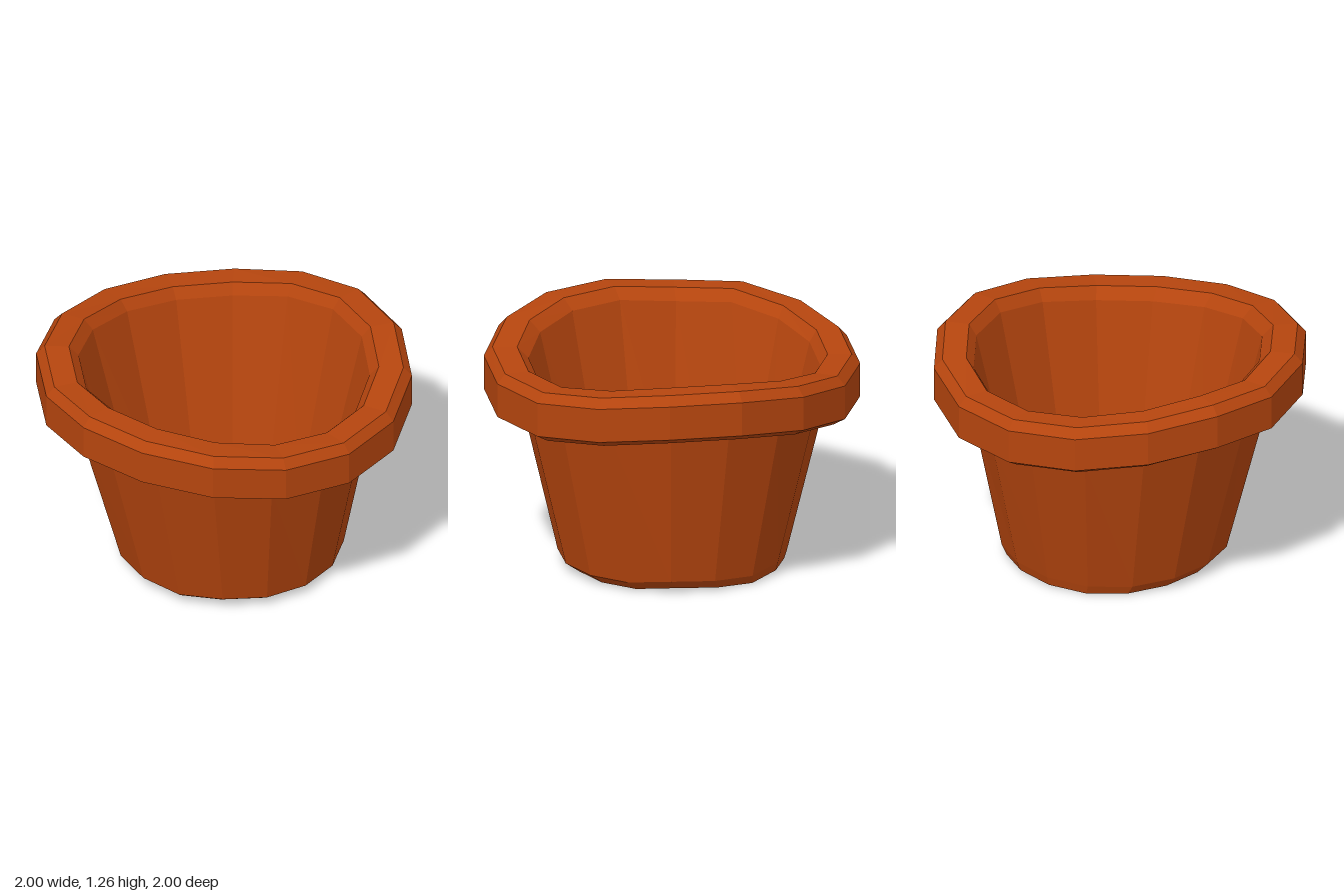
import * as THREE from 'three';

const SIDES = 16;
// Height of the wavy rim at each corner, from the left (+x) round past the front
const WAVE = [1.23, 1.19, 1.15, 1.15, 1.18, 1.225, 1.26, 1.265,
  1.24, 1.255, 1.22, 1.175, 1.145, 1.145, 1.19, 1.23];
const FOOT = [0.03, 0.01, 0.005, 0.005, 0.01, 0.02, 0.01, 0.02,
  0.025, 0.02, 0.01, 0.005, 0.01, 0.015, 0.005, 0.02];

// A ring of corners: radius, centre and a height rule per corner
function ring(r, cx, cz, height) {
  return Array.from({ length: SIDES }, (_, i) => {
    const a = (i / SIDES) * Math.PI * 2;
    return [cx + r * Math.cos(a), height(i), cz + r * Math.sin(a)];
  });
}

// Joins successive rings with quads; rings run up the outside and down the inside
function loft(name, rings, material) {
  const pos = [];
  for (let k = 0; k < rings.length - 1; k++) {
    for (let i = 0; i < SIDES; i++) {
      const j = (i + 1) % SIDES;
      const a = rings[k][i], b = rings[k + 1][i], c = rings[k + 1][j], d = rings[k][j];
      pos.push(...a, ...b, ...c, ...a, ...c, ...d);
    }
  }
  const geometry = new THREE.BufferGeometry();
  geometry.setAttribute('position', new THREE.Float32BufferAttribute(pos, 3));
  geometry.computeVertexNormals();
  const mesh = new THREE.Mesh(geometry, material);
  mesh.name = name;
  return mesh;
}

export function createModel() {
  const clay = new THREE.MeshStandardMaterial({ color: 0xb5450e, flatShading: true });
  const below = (drop) => (i) => WAVE[i] - drop;
  const foot = (lift) => (i) => FOOT[i] + lift;
  const level = (y) => () => y;

  // Shared rings
  const baseEdge = ring(0.565, 0.03, -0.04, foot(0));
  const wallBottom = ring(0.61, 0.03, -0.01, foot(0.05));
  const wallTop = ring(0.805, -0.01, -0.01, below(0.3));
  const mouth = ring(0.775, 0.005, -0.02, below(0.06));
  const floorEdge = ring(0.52, 0.02, -0.02, level(0.12));

  const pot = new THREE.Group();
  pot.name = 'flowerPot';
  pot.add(
    // Underside with its chamfered edge
    loft('base', [ring(0, 0.03, -0.04, level(0.012)), baseEdge, wallBottom], clay),
    // Tapered outer wall
    loft('outerWall', [wallBottom, wallTop], clay),
    // Thick wavy rim, from the neck over the top to the mouth
    loft('rim', [
      wallTop,
      ring(0.84, 0, -0.01, below(0.275)),
      ring(0.93, 0, -0.01, below(0.275)),
      ring(1, 0, -0.008, below(0.235)),
      ring(1, 0, -0.008, below(0.05)),
      ring(0.955, 0, -0.008, below(0)),
      ring(0.825, 0, -0.01, below(0)),
      mouth,
    ], clay),
    // Hollow inside and its floor
    loft('innerWall', [mouth, floorEdge], clay),
    loft('floor', [floorEdge, ring(0, 0.02, -0.02, level(0.12))], clay),
  );
  return pot;
}
